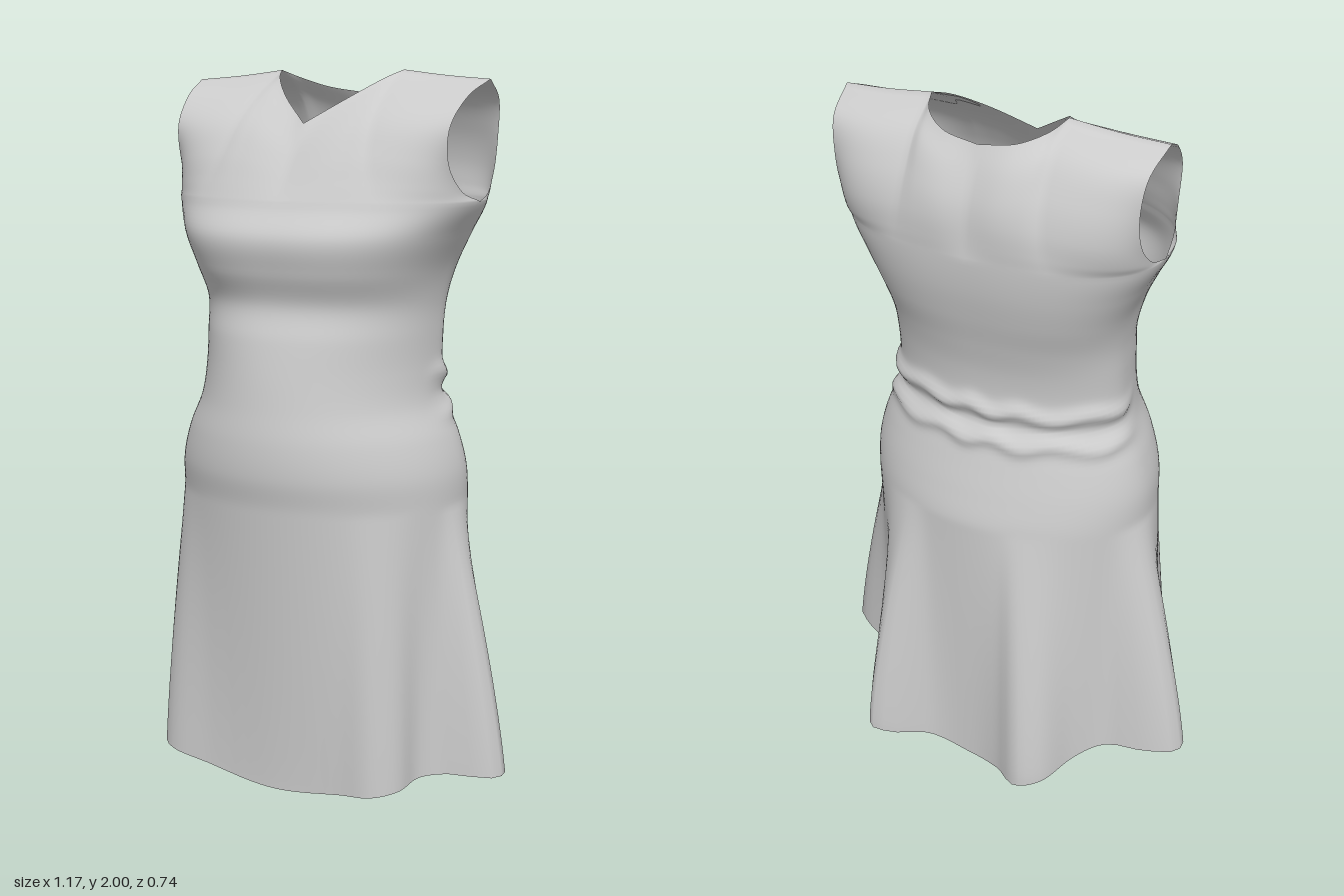
import * as THREE from 'three';
import { mergeGeometries, mergeVertices } from 'three/addons/utils/BufferGeometryUtils.js';

const { lerp, clamp, smoothstep } = THREE.MathUtils;
const ARMPIT = 1.66, HIP = 0.85, AROUND = 128, ROWS = 130, PATCH = 32;

// Evenly spaced values from hip to armpit, read as a smooth function of height
const profile = (values) => {
  const curve = new THREE.SplineCurve(values.map((v, i) => new THREE.Vector2(i, v)));
  return (y) => curve.getPoint(clamp((y - HIP) / (ARMPIT - HIP), 0, 1)).y;
};
const halfWidth = profile([0.42, 0.415, 0.39, 0.35, 0.338, 0.335, 0.337, 0.355, 0.395, 0.44]);
const frontZ = profile([0.36, 0.374, 0.372, 0.357, 0.34, 0.318, 0.29, 0.315, 0.325, 0.27]);
const backZ = profile([0.285, 0.265, 0.24, 0.215, 0.2, 0.205, 0.225, 0.25, 0.27, 0.28]);
const squareness = profile([2, 2, 2, 2, 2, 2.1, 2.25, 2.5, 2.5, 2.4]);

// Hem outline with its draped folds (x, z), turned into radius by angle
const hemCurve = new THREE.CatmullRomCurve3([
  [0, 0.31], [0.2, 0.3], [0.3, 0.3], [0.36, 0.25], [0.38, 0.16], [0.45, 0.11], [0.56, 0.09],
  [0.59, 0.04], [0.52, -0.02], [0.42, -0.07], [0.34, -0.15], [0.345, -0.28], [0.31, -0.365],
  [0.24, -0.35], [0.14, -0.29], [0, -0.29], [-0.1, -0.32], [-0.18, -0.37], [-0.25, -0.34],
  [-0.31, -0.23], [-0.38, -0.16], [-0.5, -0.14], [-0.59, -0.1], [-0.59, -0.05], [-0.47, 0.05],
  [-0.42, 0.13], [-0.4, 0.25], [-0.35, 0.29], [-0.2, 0.3],
].map(([x, z]) => new THREE.Vector3(x, 0, z)), true);
const hemSamples = hemCurve.getPoints(3000);
const hemRadius = Array.from({ length: AROUND }, (_, i) => {
  const a = (i / AROUND) * Math.PI * 2, dx = Math.sin(a), dz = Math.cos(a);
  let best = hemSamples[0], bestDot = -2;
  for (const p of hemSamples) {
    const dot = (p.x * dx + p.z * dz) / p.length();
    if (dot > bestDot) { bestDot = dot; best = p; }
  }
  return best.length();
});

// Point on the skirt and torso at angle step i and height fraction v
function bodyPoint(i, v) {
  i = (i + AROUND) % AROUND;
  const a = (i / AROUND) * Math.PI * 2, s = Math.sin(a), c = Math.cos(a);
  const y = lerp((c > 0 ? 0.04 : 0) + (c > 0 ? 0.065 : 0.105) * s * s, ARMPIT, v);
  const zMid = -0.04 * clamp((y - HIP) / (ARMPIT - HIP), 0, 1);
  const depth = c > 0 ? frontZ(y) - zMid : backZ(y) + zMid;
  const n = squareness(y);
  let r = (Math.abs(s / halfWidth(y)) ** n + Math.abs(c / depth) ** n) ** (-1 / n);
  // flare into the hem folds
  const t = clamp((HIP - y) / 0.8, 0, 1);
  r = lerp(r, hemRadius[i], 1 - (1 - t) ** 1.3);
  // gathered cloth around the back of the waist
  const ridge = (at, width) => Math.exp(-(((y - at) / width) ** 2));
  const wobble = 0.008 * Math.sin(a * 9) + 0.03 * Math.max(0, c + 0.2);
  r += smoothstep(-c, -0.25, 0.3) * (0.018 * ridge(1.19 + wobble, 0.022)
    + 0.016 * ridge(1.105 - wobble, 0.022) - 0.008 * ridge(1.148, 0.018));
  return new THREE.Vector3(r * s, y, zMid + r * c);
}

// Grid surface from a point function; flip reverses the facing
function grid(cols, rows, point, flip = false) {
  const pos = [], index = [];
  for (let j = 0; j <= rows; j++)
    for (let i = 0; i <= cols; i++) pos.push(...point(i, j).toArray());
  for (let j = 0; j < rows; j++)
    for (let i = 0; i < cols; i++) {
      const a = j * (cols + 1) + i, b = a + 1, d = a + cols + 1, e = d + 1;
      index.push(...(flip ? [a, e, b, a, d, e] : [a, b, e, a, e, d]));
    }
  const g = new THREE.BufferGeometry();
  g.setAttribute('position', new THREE.Float32BufferAttribute(pos, 3));
  g.setIndex(index);
  return g;
}

const spline = (...pts) => new THREE.CatmullRomCurve3(pts.map((p) => new THREE.Vector3(...p)));
const neckSide = [0.19, 2, -0.085], shoulderTip = [0.45, 1.975, -0.07];
const shoulder = spline(neckSide, [0.32, 1.985, -0.08], shoulderTip);
const underarm = bodyPoint(AROUND / 4, 1).toArray();

// Edges of the front and back yoke, left half
const yokes = {
  front: {
    centre: spline(bodyPoint(0, 1).toArray(), [0, 1.76, 0.2], [0, 1.86, 0.128]),
    armhole: spline(underarm, [0.425, 1.69, 0.045], [0.412, 1.76, 0.1], [0.415, 1.85, 0.105],
      [0.43, 1.93, 0.03], shoulderTip),
    neck: spline([0, 1.86, 0.128], [0.1, 1.93, 0.05], [0.165, 1.98, -0.03], neckSide),
    step: (i) => i,
  },
  back: {
    centre: spline(bodyPoint(AROUND / 2, 1).toArray(), [0, 1.8, -0.262], [0, 1.94, -0.203]),
    armhole: spline(underarm, [0.432, 1.68, -0.11], [0.425, 1.74, -0.165], [0.425, 1.83, -0.185],
      [0.435, 1.92, -0.165], shoulderTip),
    neck: spline([0, 1.94, -0.203], [0.1, 1.955, -0.192], [0.165, 1.98, -0.145], neckSide),
    step: (i) => AROUND / 2 - i,
  },
};

// Blend the four edges of a yoke half into a surface
function yokeHalf({ centre, armhole, neck, step }, side, flip) {
  const top = (s) => (s < 0.5 ? neck.getPoint(s * 2) : shoulder.getPoint(s * 2 - 1));
  const corners = [centre.getPoint(0), armhole.getPoint(0), centre.getPoint(1), armhole.getPoint(1)];
  return grid(PATCH, PATCH, (i, j) => {
    const s = i / PATCH, t = j / PATCH;
    const p = new THREE.Vector3()
      .addScaledVector(bodyPoint(step(i), 1), 1 - t).addScaledVector(top(s), t)
      .addScaledVector(centre.getPoint(t), 1 - s).addScaledVector(armhole.getPoint(t), s)
      .addScaledVector(corners[0], -(1 - s) * (1 - t)).addScaledVector(corners[1], -s * (1 - t))
      .addScaledVector(corners[2], -(1 - s) * t).addScaledVector(corners[3], -s * t);
    p.x *= side;
    return p;
  }, flip);
}

export function createModel() {
  const group = new THREE.Group();
  group.name = 'dress';
  const cloth = new THREE.MeshStandardMaterial({ color: 0xcccccc, side: THREE.DoubleSide });

  // Skirt, torso and yoke are welded so the cloth shades as one piece
  const parts = [
    grid(AROUND, ROWS, (i, j) => bodyPoint(i, j / ROWS)),
    yokeHalf(yokes.front, 1, false),
    yokeHalf(yokes.front, -1, true),
    yokeHalf(yokes.back, 1, true),
    yokeHalf(yokes.back, -1, false),
  ];
  const geometry = mergeVertices(mergeGeometries(parts), 1e-4);
  geometry.computeVertexNormals();

  const dress = new THREE.Mesh(geometry, cloth);
  dress.name = 'sleevelessDress';
  group.add(dress);
  return group;
}
